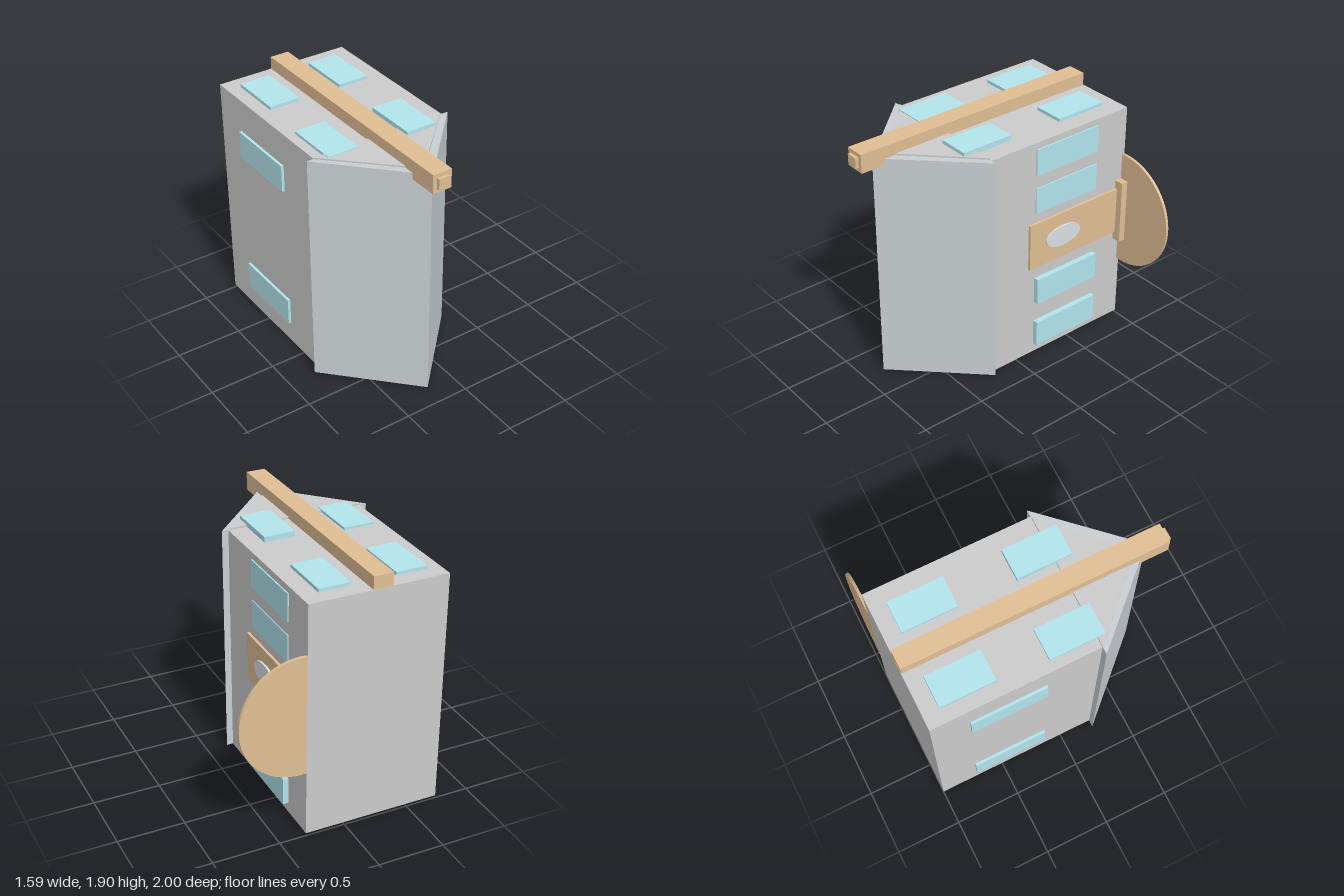
import * as THREE from 'three';

const material = (color) => new THREE.MeshStandardMaterial({ color, flatShading: true });
const wallGrey = material(0xcccccc);
const roofGrey = material(0xc8ced2);
const wood = material(0xe0be94);
const glass = material(0xb2e4ec);
const paleGlass = material(0xdadfe3);

export function createModel() {
  const model = new THREE.Group();

  const add = (name, geometry, mat) => {
    const mesh = new THREE.Mesh(geometry, mat);
    mesh.name = name;
    model.add(mesh);
    return mesh;
  };

  // Box given by its extents along each axis
  const block = (name, [x0, x1], [y0, y1], [z0, z1], mat) => {
    const mesh = add(name, new THREE.BoxGeometry(x1 - x0, y1 - y0, z1 - z0), mat);
    mesh.position.set((x0 + x1) / 2, (y0 + y1) / 2, (z0 + z1) / 2);
    return mesh;
  };

  // Upright prism from an outline of [x, z] points
  const prism = (name, points, y0, y1, mat) => {
    const shape = new THREE.Shape(points.map(([x, z]) => new THREE.Vector2(x, -z)));
    const geometry = new THREE.ExtrudeGeometry(shape, { depth: y1 - y0, bevelEnabled: false });
    geometry.rotateX(-Math.PI / 2);
    geometry.translate(0, y0, 0);
    return add(name, geometry, mat);
  };

  // House body, lying on its side with the ridge facing forward
  block('houseBody', [-0.74, 0.3], [0.02, 1.8], [-1, 0.25], wallGrey);
  prism('gable', [[-0.745, 0.251], [0.285, 0.251], [-0.23, 0.765]], 0.01, 1.814, wallGrey);

  // Roof: two thin slopes meeting at the ridge
  prism('roof', [
    [-0.795, 0.25], [-0.735, 0.25], [-0.225, 0.765], [0.285, 0.25], [0.35, 0.25], [-0.225, 0.85],
  ], 0.02, 1.803, roofGrey);

  // Windows beside the door
  for (const [y, x] of [[1.645, 0.31], [1.335, 0.308], [0.58, 0.34], [0.2, 0.34]]) {
    block('doorSideWindow', [0.29, x], [y - 0.104, y + 0.104], [-0.72, -0.15], glass);
  }

  // Windows on the opposite wall
  for (const y of [1.445, 0.295]) {
    block('farSideWindow', [-0.76, -0.73], [y - 0.104, y + 0.104], [-0.72, -0.15], glass);
  }

  // Windows on the upper wall: x, z and height of the pane
  for (const [x, z, top] of [
    [-0.52, -0.675, 1.825], [0.05, -0.675, 1.825], [-0.55, 0.105, 1.82], [0.04, 0.165, 1.84],
  ]) {
    block('upperWallWindow', [x - 0.118, x + 0.118], [1.79, top], [z - 0.205, z + 0.205], glass);
  }

  // Windows on the lower wall
  for (const [x, bottom] of [[-0.49, 0], [0.02, 0.014]]) {
    block('lowerWallWindow', [x - 0.118, x + 0.118], [bottom, 0.03], [-0.72, -0.15], glass);
  }

  // Door with an oval pane
  block('door', [0.29, 0.32], [0.785, 1.157], [-0.93, -0.09], wood);
  const pane = add('doorPane', new THREE.CylinderGeometry(1, 1, 0.03, 32), paleGlass);
  pane.geometry.rotateZ(Math.PI / 2);
  pane.scale.set(1, 0.082, 0.16);
  pane.position.set(0.32, 0.975, -0.395);

  // Doorstep and rounded porch slab
  block('doorstep', [0.29, 0.37], [0.72, 1.222], [-0.995, -0.925], wood);
  const slab = new THREE.Shape();
  slab.absarc(0.338, 0.972, 0.453, -1.655, 1.655, false);
  const porch = add('porch', new THREE.ExtrudeGeometry(slab, {
    depth: 0.022, bevelEnabled: false, curveSegments: 18,
  }), wood);
  porch.position.z = -1;

  // Square chimney running along the upper wall, with its flue
  block('chimney', [-0.315, -0.168], [1.755, 1.896], [-0.999, 0.975], wood);
  block('chimneyFlue', [-0.285, -0.198], [1.786, 1.866], [0.96, 1], wood);

  return model;
}
